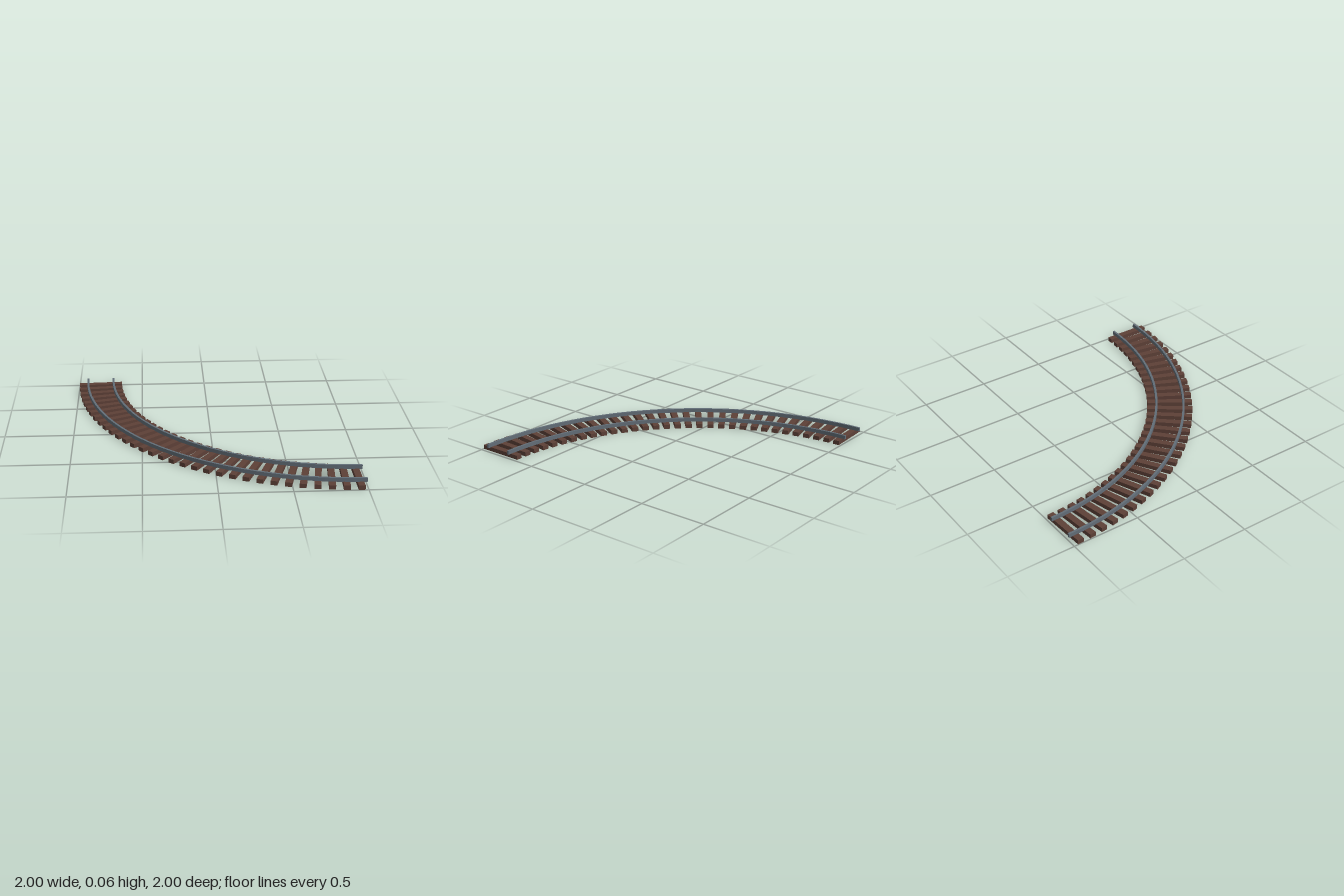
import * as THREE from 'three';

const TIE_COUNT = 32;
const STEP = Math.PI / 2 / TIE_COUNT;
const CENTRE = { x: 1, z: -1 };   // the quarter turn bends around this point
const MID_RADIUS = 1.83;

const steel = new THREE.MeshStandardMaterial({ color: 0x626d77 });
steel.name = 'steel';
const wood = new THREE.MeshStandardMaterial({ color: 0x5d4037 });
wood.name = 'wood';

// Quarter-circle rail with a rectangular section, drawn in plan and extruded downwards
function makeRail(name, radius) {
  const width = 0.016, bottom = 0.03, top = 0.058;
  const shape = new THREE.Shape();
  shape.absarc(0, 0, radius + width / 2, Math.PI / 2, Math.PI, false);
  shape.absarc(0, 0, radius - width / 2, Math.PI, Math.PI / 2, true);
  const geometry = new THREE.ExtrudeGeometry(shape, {
    depth: top - bottom, bevelEnabled: false, curveSegments: TIE_COUNT / 2,
  });
  geometry.rotateX(Math.PI / 2);
  const rail = new THREE.Mesh(geometry, steel);
  rail.name = name;
  rail.position.set(CENTRE.x, top, CENTRE.z);
  return rail;
}

export function createModel() {
  const track = new THREE.Group();
  track.name = 'curvedTrack';

  // Rails
  track.add(makeRail('outerRail', 1.932), makeRail('innerRail', 1.73));

  // Ties: each sits mid-segment but is turned to the start of its segment
  const ties = new THREE.Group();
  ties.name = 'ties';
  const tieGeometry = new THREE.BoxGeometry(0.046, 0.031, 0.336);
  for (let i = 0; i < TIE_COUNT; i++) {
    const angle = (i + 0.5) * STEP;
    const tie = new THREE.Mesh(tieGeometry, wood);
    tie.name = 'tie';
    tie.position.set(
      CENTRE.x - Math.sin(angle) * MID_RADIUS,
      0.0155,
      CENTRE.z + Math.cos(angle) * MID_RADIUS
    );
    tie.rotation.y = -i * STEP;
    ties.add(tie);
  }
  track.add(ties);
  return track;
}
